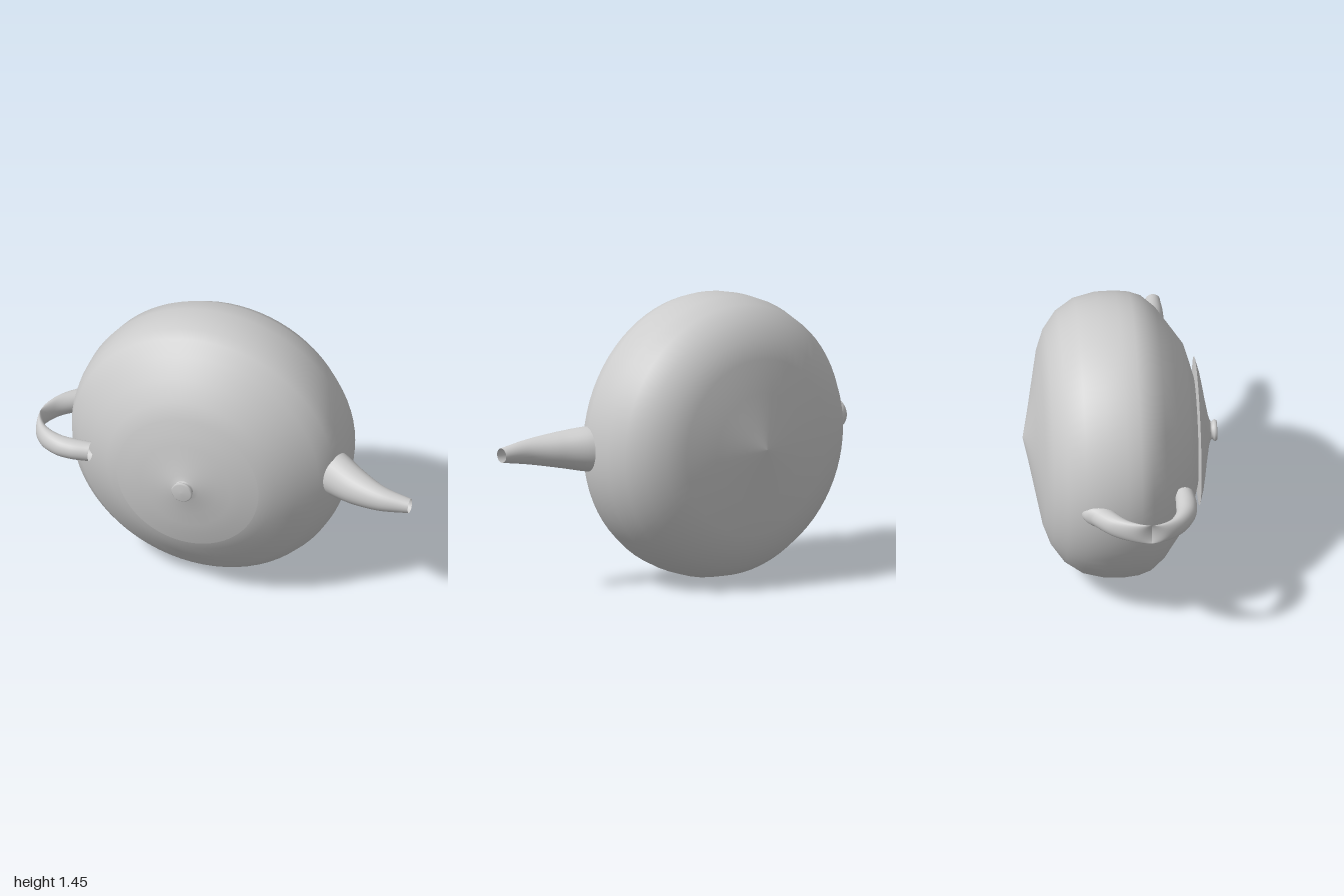
import * as THREE from 'three';

const AXIS_X = -0.13, AXIS_Y = 0.726;

// Surface of revolution about the z axis; profile is [radius, z] from back to front
function turned(name, profile, material) {
  const points = profile.map(([r, z]) => new THREE.Vector2(r, z));
  const geometry = new THREE.LatheGeometry(points, 72);
  geometry.rotateX(Math.PI / 2);
  const mesh = new THREE.Mesh(geometry, material);
  mesh.name = name;
  mesh.position.set(AXIS_X, AXIS_Y, 0);
  return mesh;
}

// Open tube lofted through oval sections [x, z, halfX, halfZ, halfY]
function lofted(name, sections, material, steps = 32, sides = 28) {
  const centres = new THREE.CatmullRomCurve3(sections.map(s => new THREE.Vector3(s[0], 0, s[1])));
  const halves = new THREE.CatmullRomCurve3(sections.map(s => new THREE.Vector3(s[2], s[4], s[3])));
  const positions = [], index = [];
  for (let i = 0; i <= steps; i++) {
    const c = centres.getPoint(i / steps), h = halves.getPoint(i / steps);
    for (let j = 0; j < sides; j++) {
      const a = (j / sides) * Math.PI * 2;
      positions.push(c.x + h.x * Math.sin(a), AXIS_Y + h.y * Math.cos(a), c.z + h.z * Math.sin(a));
      if (i === steps) continue;
      const p = i * sides + j, q = i * sides + (j + 1) % sides;
      index.push(p, p + sides, q, q, p + sides, q + sides);
    }
  }
  const geometry = new THREE.BufferGeometry();
  geometry.setAttribute('position', new THREE.Float32BufferAttribute(positions, 3));
  geometry.setIndex(index);
  geometry.computeVertexNormals();
  const mesh = new THREE.Mesh(geometry, material);
  mesh.name = name;
  return mesh;
}

export function createModel() {
  const group = new THREE.Group();
  group.name = 'teapot';
  const grey = new THREE.MeshStandardMaterial({ color: 0xcccccc, side: THREE.DoubleSide });
  grey.name = 'grey';

  // Round body lying on its side, with a shallow pointed base at the back
  group.add(turned('body', [
    [0, -0.49], [0.13, -0.462], [0.28, -0.433], [0.45, -0.40], [0.545, -0.365], [0.635, -0.30],
    [0.695, -0.21], [0.722, -0.10], [0.724, 0], [0.716, 0.07], [0.695, 0.13],
    [0.635, 0.20], [0.54, 0.268], [0.445, 0.335], [0.36, 0.36], [0.275, 0.383],
  ], grey));

  // Lid underside, domed lid and knob
  group.add(turned('lidRim', [[0.26, 0.38], [0.376, 0.39]].reverse(), grey));
  group.add(turned('lid', [
    [0.376, 0.39], [0.306, 0.409], [0.24, 0.421], [0.17, 0.432], [0.077, 0.449], [0.05, 0.458],
  ], grey));
  group.add(turned('knob', [
    [0.05, 0.458], [0.044, 0.466], [0.053, 0.475], [0.055, 0.485], [0.048, 0.492], [0, 0.494],
  ], grey));

  // Tapering curved spout, open at the tip
  group.add(lofted('spout', [
    [0.50, 0.05, -0.04, 0.095, 0.118],
    [0.57, 0.095, -0.04, 0.092, 0.115],
    [0.70, 0.172, -0.03, 0.08, 0.091],
    [0.85, 0.228, -0.01, 0.058, 0.063],
    [1.00, 0.242, 0, 0.037, 0.037],
  ], grey));

  // Looped handle whose sections all stay parallel, so it flattens at the bend
  group.add(lofted('handle', [
    [-0.77, -0.18, 0, 0.072, 0.058],
    [-0.853, -0.122, 0, 0.072, 0.058],
    [-0.95, -0.03, 0, 0.065, 0.057],
    [-1.00, 0.11, 0, 0.06, 0.056],
    [-0.95, 0.225, 0, 0.048, 0.054],
    [-0.853, 0.285, 0, 0.051, 0.053],
    [-0.77, 0.297, 0, 0.053, 0.052],
    [-0.675, 0.293, 0, 0.048, 0.05],
  ], grey, 56));

  return group;
}
